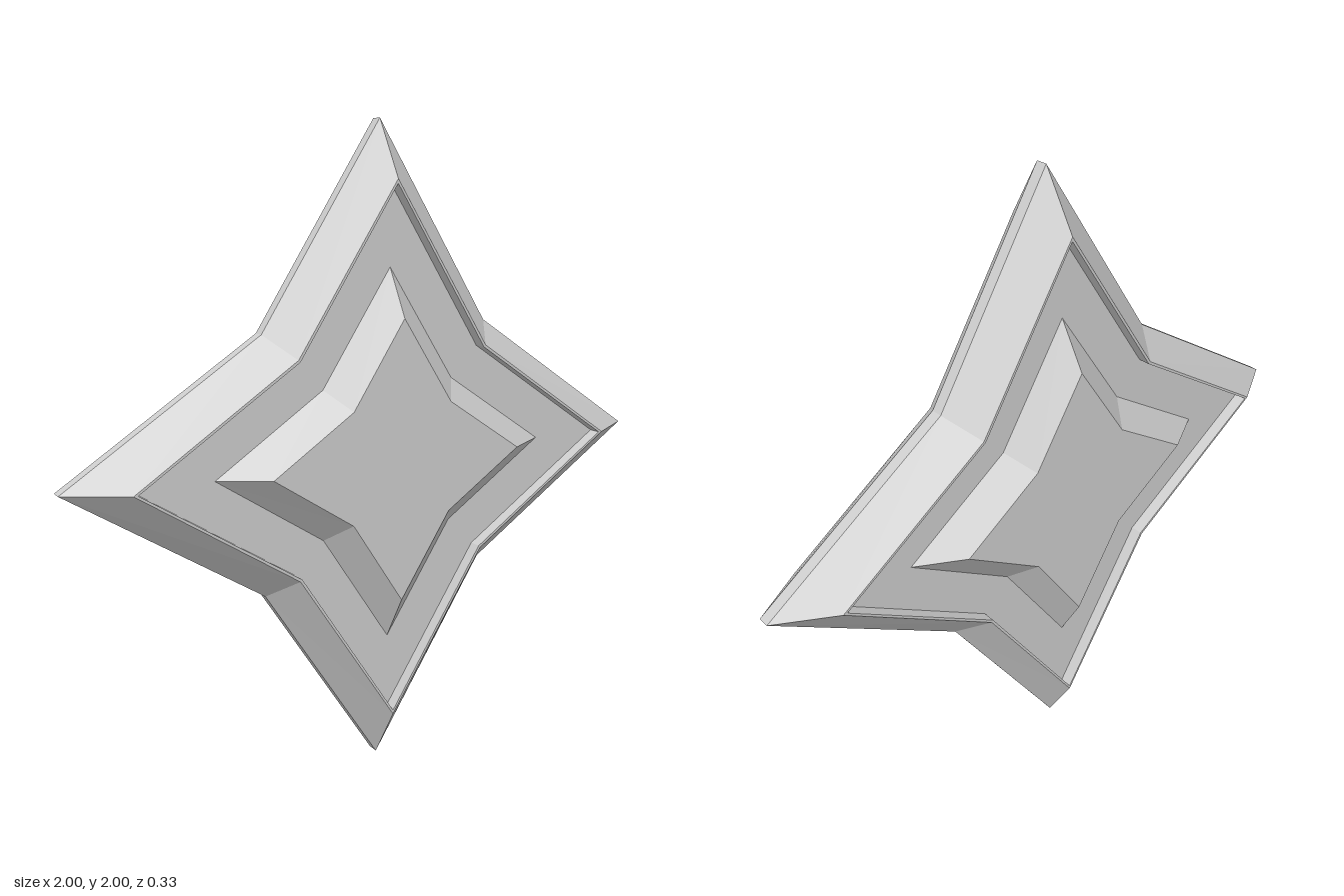
import * as THREE from 'three';

// Four-pointed star outline: tip radius, notch offset (in x and y), depth
function starRing(tip, notch, z) {
  const pts = [];
  for (let i = 0; i < 8; i++) {
    const a = (i * Math.PI) / 4;
    const r = i % 2 ? notch * Math.SQRT2 : tip;
    pts.push([Math.cos(a) * r, Math.sin(a) * r, z]);
  }
  return pts;
}

// Skin a list of rings, ordered from the back to the front
function loft(rings) {
  const pos = [];
  for (let k = 0; k < rings.length - 1; k++) {
    const a = rings[k], b = rings[k + 1];
    for (let i = 0; i < 8; i++) {
      const j = (i + 1) % 8;
      pos.push(...a[i], ...a[j], ...b[j], ...a[i], ...b[j], ...b[i]);
    }
  }
  const geo = new THREE.BufferGeometry();
  geo.setAttribute('position', new THREE.Float32BufferAttribute(pos, 3));
  geo.computeVertexNormals();
  return geo;
}

export function createModel() {
  const model = new THREE.Group();
  model.name = 'star';
  const metal = new THREE.MeshStandardMaterial({ color: 0xcccccc });
  metal.name = 'lightGrey';

  const add = (name, rings) => {
    const mesh = new THREE.Mesh(loft(rings), metal);
    mesh.name = name;
    model.add(mesh);
  };

  // Bevelled rim with a sunken floor on both faces
  const half = [
    [0, 0, 0.08],
    [0.815, 0.322, 0.08],
    [0.815, 0.322, 0.12],
    [0.828, 0.328, 0.12],
    [1, 0.393, 0.018],
  ];
  const back = half.map(([t, n, z]) => starRing(t, n, -z));
  const front = half.map(([t, n, z]) => starRing(t, n, z)).reverse();
  add('bevelledRim', [...back, ...front]);

  // Small raised star in the middle of each face
  const boss = [[0.575, 0.228, 0.08], [0.432, 0.171, 0.162], [0, 0, 0.162]];
  add('frontRaisedStar', boss.map(([t, n, z]) => starRing(t, n, z)));
  add('backRaisedStar', boss.map(([t, n, z]) => starRing(t, n, -z)).reverse());

  // Stand upright with a very slight forward lean
  model.rotation.x = 0.011;
  model.position.y = 1;
  const root = new THREE.Group();
  root.add(model);
  return root;
}
